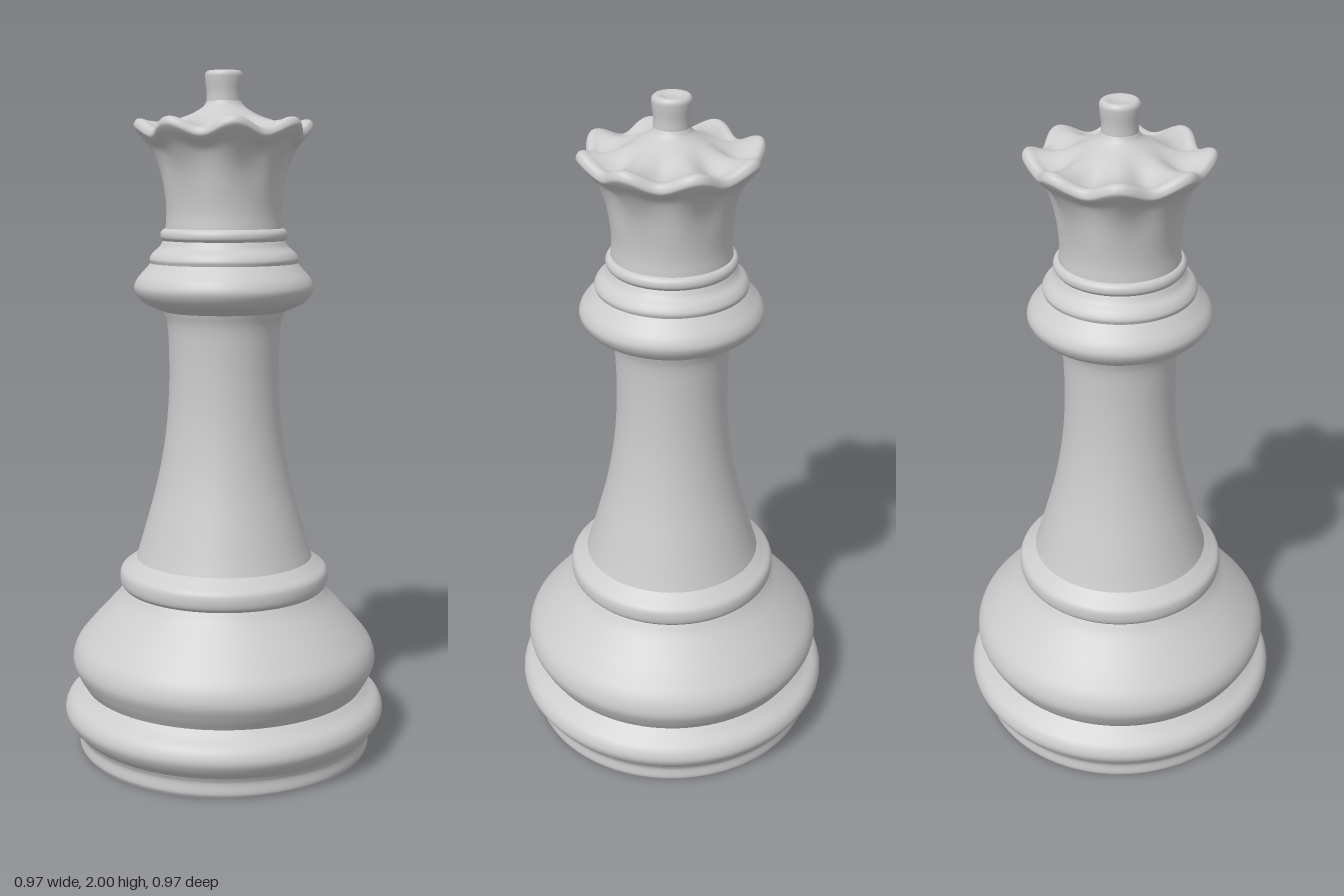
import * as THREE from 'three';
import { mergeVertices } from 'three/addons/utils/BufferGeometryUtils.js';

const material = new THREE.MeshStandardMaterial({ color: 0xcccccc });
const SEGMENTS = 96;
const LOBES = 8;

// Smooth curve through [radius, height] pairs, listed from bottom to top
function profile(pairs, steps = 5) {
  const curve = new THREE.CatmullRomCurve3(
    pairs.map(([r, y]) => new THREE.Vector3(r, y, 0)), false, 'centripetal');
  return curve.getPoints((pairs.length - 1) * steps)
    .map(p => new THREE.Vector2(Math.max(p.x, 0), p.y));
}

function turned(name, pairs) {
  const mesh = new THREE.Mesh(new THREE.LatheGeometry(profile(pairs), SEGMENTS), material);
  mesh.name = name;
  return mesh;
}

// Crown: a turned cup whose rim is pressed in and down between the lobes
function crown() {
  const pairs = [
    [0.170, 1.555], [0.167, 1.60], [0.172, 1.66], [0.188, 1.73], [0.218, 1.79],
    [0.252, 1.832], [0.259, 1.846], [0.252, 1.862], [0.240, 1.866],
    [0.215, 1.860], [0.170, 1.857], [0.125, 1.868], [0.085, 1.884], [0.058, 1.902], [0.050, 1.915],
  ];
  let geometry = new THREE.LatheGeometry(profile(pairs), SEGMENTS * 2);
  geometry.deleteAttribute('uv');
  geometry.deleteAttribute('normal');
  const pos = geometry.attributes.position;
  for (let i = 0; i < pos.count; i++) {
    const x = pos.getX(i), y = pos.getY(i), z = pos.getZ(i);
    const r = Math.hypot(x, z);
    const notch = (1 - Math.cos(LOBES * Math.atan2(x, z))) / 2;
    const flute = notch * THREE.MathUtils.smoothstep(y, 1.62, 1.84)
      * THREE.MathUtils.smoothstep(r, 0.06, 0.24);
    const drop = notch * THREE.MathUtils.smoothstep(y, 1.76, 1.85)
      * THREE.MathUtils.smoothstep(r, 0.08, 0.23);
    const s = 1 - 0.095 * flute;
    pos.setXYZ(i, x * s, y - 0.030 * drop, z * s);
  }
  geometry = mergeVertices(geometry, 1e-5);
  geometry.computeVertexNormals();
  const mesh = new THREE.Mesh(geometry, material);
  mesh.name = 'crown';
  return mesh;
}

export function createModel() {
  const model = new THREE.Group();
  model.name = 'chessQueen';

  // Flat underside
  const underside = new THREE.Mesh(new THREE.CircleGeometry(0.435, SEGMENTS), material);
  underside.rotation.x = Math.PI / 2;
  underside.name = 'underside';

  model.add(
    underside,
    turned('foot', [[0.435, 0], [0.441, 0.012], [0.440, 0.045], [0.447, 0.062]]),
    turned('footRing', [
      [0.447, 0.062], [0.470, 0.088], [0.483, 0.118], [0.472, 0.150], [0.440, 0.176], [0.421, 0.194],
    ]),
    turned('base', [
      [0.421, 0.194], [0.441, 0.228], [0.457, 0.270], [0.447, 0.315],
      [0.410, 0.364], [0.357, 0.422], [0.318, 0.466], [0.301, 0.492],
    ]),
    turned('baseCollar', [
      [0.301, 0.492], [0.310, 0.503], [0.313, 0.525], [0.308, 0.546], [0.285, 0.565], [0.263, 0.582],
    ]),
    turned('stem', [
      [0.263, 0.582], [0.251, 0.62], [0.225, 0.71], [0.201, 0.80], [0.181, 0.90], [0.168, 1.0],
      [0.162, 1.1], [0.162, 1.2], [0.167, 1.28], [0.178, 1.317],
    ]),
    turned('collar', [
      [0.178, 1.317], [0.205, 1.328], [0.243, 1.349], [0.262, 1.382],
      [0.255, 1.408], [0.232, 1.436], [0.214, 1.456],
    ]),
    turned('middleRing', [
      [0.214, 1.456], [0.217, 1.468], [0.208, 1.485], [0.188, 1.503], [0.177, 1.521],
    ]),
    turned('upperRing', [
      [0.177, 1.521], [0.184, 1.530], [0.184, 1.543], [0.178, 1.552], [0.170, 1.556],
    ]),
    crown(),
    turned('finial', [
      [0.050, 1.910], [0.050, 1.94], [0.054, 1.975], [0.054, 1.990], [0.047, 1.999],
      [0.036, 1.999], [0.018, 1.994], [0, 1.993],
    ]),
  );
  return model;
}
